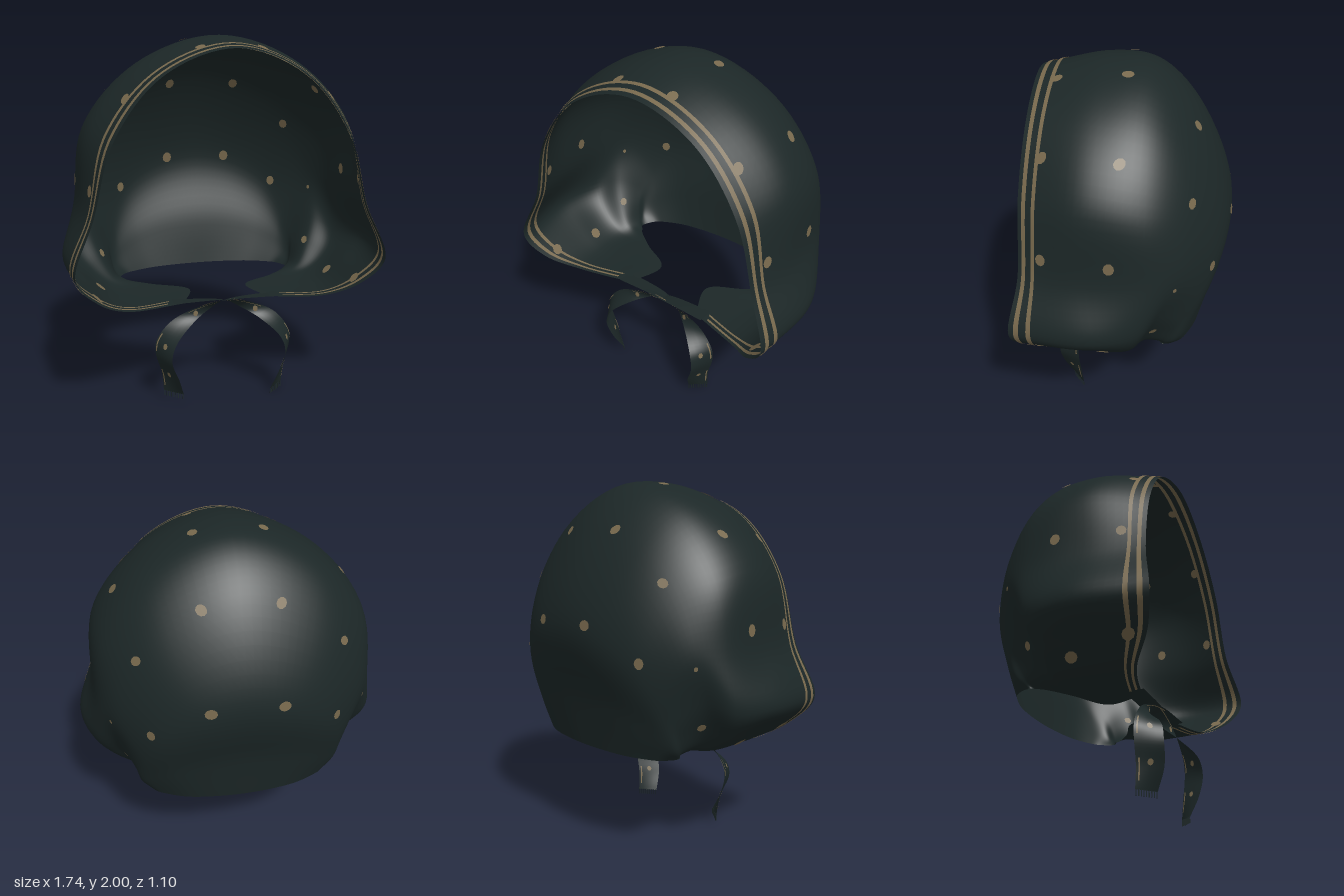
import * as THREE from 'three';

const V = (p) => new THREE.Vector3(p[0], p[1], p[2]);
const fabric = new THREE.MeshStandardMaterial({ color: 0x1c2727, side: THREE.DoubleSide });
fabric.name = 'dark teal fabric';
const gold = new THREE.MeshStandardMaterial({ color: 0x78694d, side: THREE.DoubleSide });
gold.name = 'dull gold print';

// Half arches of the hood, each from the centre line down to the hem
const rim = [[0, 1.93, .48], [.36, 1.8, .48], [.6, 1.5, .49], [.71, 1.12, .5],
  [.81, .83, .55], [.71, .69, .5], [.55, .585, .38], [.24, .566, .28]];
const crown = [[0, 2, .12], [.42, 1.86, .15], [.71, 1.54, .17], [.77, 1.12, .2],
  [.86, .84, .15], [.74, .7, .17], [.58, .585, .17], [.17, .57, .06]];
const middle = [[0, 1.97, -.12], [.42, 1.82, -.12], [.69, 1.49, -.12], [.75, 1.12, -.12],
  [.78, .84, -.09], [.72, .7, -.05], [.58, .59, -.04], [.36, .573, -.06]];
const upperBack = [[0, 1.75, -.355], [.36, 1.62, -.345], [.57, 1.4, -.32], [.67, 1.12, -.28],
  [.67, .89, -.2], [.62, .74, -.15], [.55, .62, -.12], [.47, .575, -.15]];
const lowerBack = [[0, 1.25, -.55], [.25, 1.2, -.53], [.44, 1.08, -.47], [.54, .91, -.385],
  [.58, .79, -.3], [.57, .7, -.25], [.54, .61, -.21], [.5, .575, -.19]];
const nape = [[0, .85, -.465], [.22, .83, -.455], [.38, .78, -.42], [.49, .72, -.36],
  [.54, .67, -.31], [.55, .63, -.27], [.535, .595, -.23], [.515, .573, -.2]];
const backHem = [[0, .57, -.42], [.17, .57, -.41], [.31, .57, -.385], [.42, .57, -.34],
  [.47, .57, -.31], [.5, .57, -.27], [.515, .57, -.24], [.52, .57, -.21]];

// Mirrored into whole arches; the right side is a touch fuller, most at the back
const arches = [rim, crown, middle, upperBack, lowerBack, nape, backHem].map((half) => {
  const right = half.slice(1).reverse().map(([x, y, z]) => V([-x * (z < -.08 ? 1.05 : 1.02), y, z]));
  return new THREE.CatmullRomCurve3([...right, ...half.map(V)]);
});

// Point on the hood: s runs from rim to back hem, u from the right hem to the left
const hoodPoint = (s, u) => new THREE.CatmullRomCurve3(arches.map((a) => a.getPoint(u))).getPoint(s);

// Unit normal of a surface function by finite differences
function normalAt(f, s, u) {
  const e = 0.004;
  const c = (v) => Math.min(1, Math.max(0, v));
  const ds = f(c(s + e), u).sub(f(c(s - e), u));
  const du = f(s, c(u + e)).sub(f(s, c(u - e)));
  return ds.cross(du).normalize();
}

// Grid mesh over a part of a surface function, lifted along its normal
function patch(f, [s0, s1], [u0, u1], ns, nu, lift = 0) {
  const pos = [], index = [];
  for (let i = 0; i <= ns; i++) {
    for (let j = 0; j <= nu; j++) {
      const s = s0 + (s1 - s0) * i / ns, u = u0 + (u1 - u0) * j / nu;
      const p = f(s, u);
      if (lift) p.addScaledVector(normalAt(f, s, u), lift);
      pos.push(p.x, p.y, p.z);
      if (i < ns && j < nu) {
        const a = i * (nu + 1) + j, b = a + nu + 1;
        index.push(a, b, a + 1, b, b + 1, a + 1);
      }
    }
  }
  const g = new THREE.BufferGeometry();
  g.setAttribute('position', new THREE.Float32BufferAttribute(pos, 3));
  g.setIndex(index);
  g.computeVertexNormals();
  return g;
}

function add(parent, name, geometry, material) {
  const mesh = new THREE.Mesh(geometry, material);
  mesh.name = name;
  parent.add(mesh);
  return mesh;
}

// Printed dot on both faces of a surface
function addDot(parent, f, s, u, radius) {
  const p = f(s, u), n = normalAt(f, s, u);
  for (const side of [1, -1]) {
    const dot = add(parent, 'dot', new THREE.CircleGeometry(radius, 10), gold);
    const dir = n.clone().multiplyScalar(side);
    dot.position.copy(p).addScaledVector(dir, 0.005);
    dot.quaternion.setFromUnitVectors(new THREE.Vector3(0, 0, 1), dir);
    dot.scale.set(0.88, 1.05, 1);
  }
}

// Ribbon running from one cheek, across the chin and down the other side
const outerEdge = [[-.3, .578, .31], [0, .575, .3], [.12, .552, .29], [.28, .475, .285],
  [.365, .36, .29], [.37, .28, .29], [.34, .15, .285], [.33, .03, .275]];
const innerEdge = [[-.3, .57, .21], [0, .545, .22], [.09, .505, .25], [.19, .45, .32],
  [.285, .36, .4], [.305, .27, .415], [.27, .15, .4], [.24, .03, .35]];

function makeTie(name, side) {
  const tie = new THREE.Group();
  tie.name = name;
  const place = ([x, y, z]) => side > 0 ? V([x, y, z])
    : V([-x * (x > 0 ? 1.1 : 1), .575 - (.575 - y) * .945, z + .006]);
  const a = new THREE.CatmullRomCurve3(outerEdge.map(place));
  const b = new THREE.CatmullRomCurve3(innerEdge.map(place));
  const f = (s, u) => a.getPoint(u).lerp(b.getPoint(u), s);
  add(tie, 'ribbon', patch(f, [0, 1], [0, 1], 4, 48), fabric);
  // Broken stripe beside the outer edge
  for (const lift of [.004, -.004]) {
    for (const run of [[.12, .36], [.52, .68], [.82, .95]]) {
      add(tie, 'ribbonStripe', patch(f, [.08, .14], run, 1, 14, lift), gold);
    }
  }
  for (const [s, u] of [[.5, .35], [.55, .6], [.5, .84]]) addDot(tie, f, s, u, .016);
  // Fringe threads
  for (let i = 0; i < 9; i++) {
    const p = f(.04 + .92 * i / 8, 1);
    const thread = add(tie, 'fringeThread', new THREE.BoxGeometry(.004, .034, .004), fabric);
    thread.position.set(p.x, p.y - .013, p.z);
  }
  return tie;
}

export function createModel() {
  const model = new THREE.Group();
  model.name = 'bonnet';

  add(model, 'hood', patch(hoodPoint, [0, 1], [0, 1], 48, 112), fabric);

  // Two stripes along the face opening, on both faces of the cloth
  for (const range of [[.012, .023], [.039, .049]]) {
    for (const lift of [.005, -.005]) {
      add(model, 'rimStripe', patch(hoodPoint, range, [.02, .98], 1, 112, lift), gold);
    }
  }

  // Dots (position, radius), moved to the nearest place on the hood and mirrored
  const dots = new THREE.Group();
  dots.name = 'dots';
  model.add(dots);
  const grid = [];
  for (let i = 1; i < 90; i++) {
    for (let j = 1; j < 70; j++) {
      const s = i / 90, u = .5 + j / 140;
      grid.push({ s, u, p: hoodPoint(s, u) });
    }
  }
  const spots = [
    [.19, 1.26, -.55, .032], [.2, 1.75, -.36, .03], [.56, 1.49, -.36, .028], [.47, 1.09, -.43, .028],
    [.61, .77, -.15, .024], [.2, 1.97, 0, .03], [.6, 1.71, 0, .03], [.76, 1.22, .04, .031],
    [.66, .64, .1, .034], [.68, 1.08, -.27, .012], [.72, .67, .4, .034],
    [.18, 1.93, .37, .03], [.53, 1.68, .38, .03], [.73, 1.23, .39, .03],
  ];
  for (const spot of spots) {
    const target = V(spot);
    const near = grid.reduce((m, g) => g.p.distanceToSquared(target) < m.p.distanceToSquared(target) ? g : m);
    for (const u of [near.u, 1 - near.u]) addDot(dots, hoodPoint, near.s, u, spot[3]);
  }

  model.add(makeTie('leftTie', 1), makeTie('rightTie', -1));
  return model;
}
